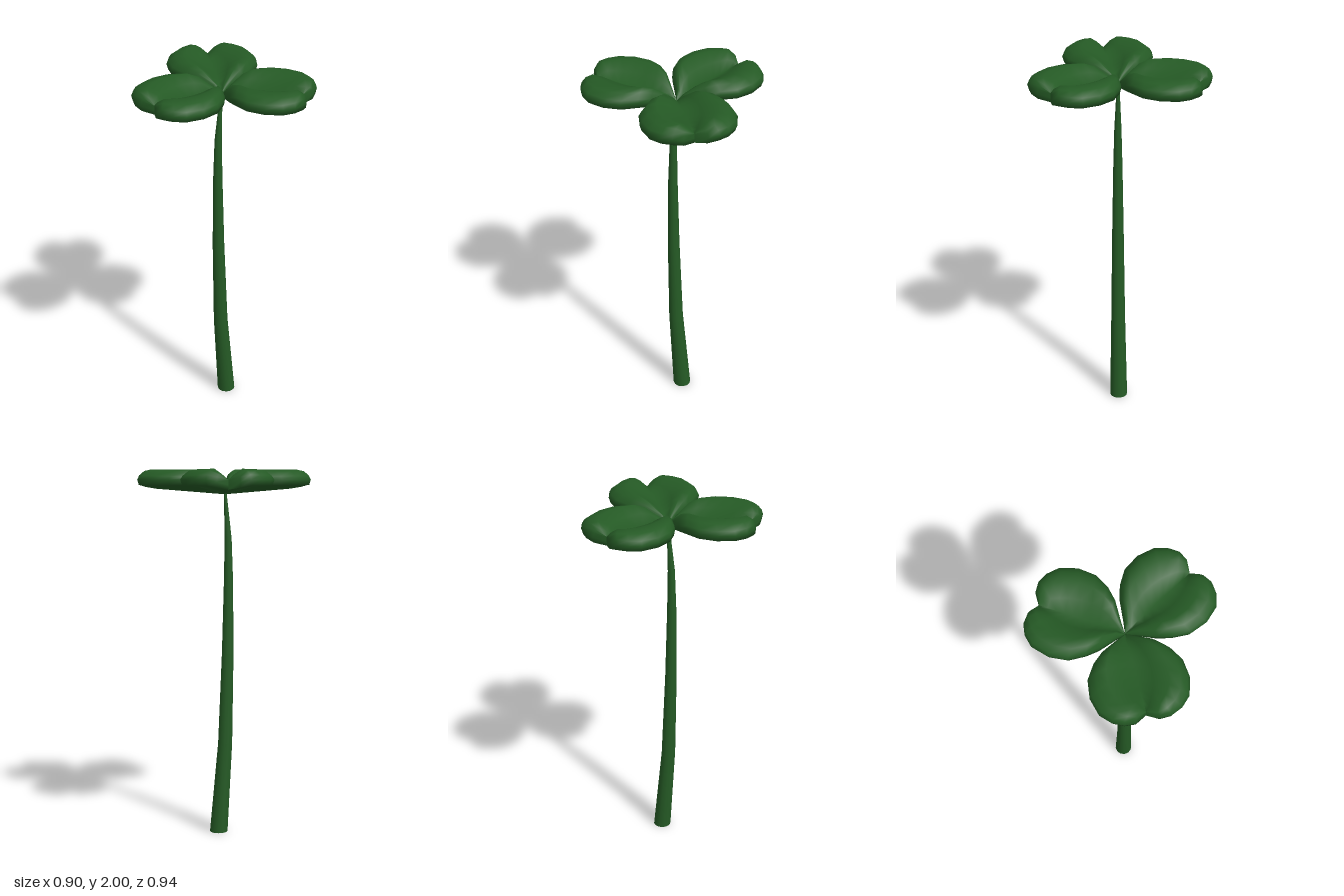
import * as THREE from 'three';

// Skins a list of closed rings (arrays of [x, y, z]) with smooth normals.
function loft(rings) {
  const n = rings[0].length;
  const index = [];
  for (let k = 0; k < rings.length - 1; k++) {
    for (let i = 0; i < n; i++) {
      const a = k * n + i, b = k * n + (i + 1) % n;
      index.push(a, b, a + n, b, b + n, a + n);
    }
  }
  const g = new THREE.BufferGeometry();
  g.setAttribute('position', new THREE.Float32BufferAttribute(rings.flat(2), 3));
  g.setIndex(index);
  g.computeVertexNormals();
  return g;
}

// Half outline of the heart, from the pointed base round to the notch.
const OUTLINE = [
  [0, 0], [0.03, 0.042], [0.09, 0.135], [0.14, 0.185], [0.215, 0.231], [0.31, 0.242],
  [0.4, 0.217], [0.448, 0.17], [0.473, 0.115], [0.471, 0.06], [0.432, 0],
];

// Puffy heart leaf: rings cross the leaf from the midrib to both edges.
function leafGeometry() {
  const { lerp } = THREE.MathUtils;
  const last = OUTLINE.length - 1;
  const rings = OUTLINE.map(([u, v], k) => {
    const r = k / last, rib = 0.432 * r;
    const full = Math.min(1, Math.hypot(u - rib, v) / 0.17);
    const top = 1.885 + 0.058 * Math.sqrt(r);
    const bottom = 1.867 + 0.028 * r;
    const at = (t, y) => [lerp(rib, u, t), y, v * t];
    const half = [
      ...[[0.3, 0.6], [0.6, 1], [0.82, 0.87], [0.95, 0.52]].map(([t, c]) => at(t, lerp(top, 2, c * full))),
      at(1, lerp((top + bottom) / 2, 1.945, full)),
      at(0.96, lerp(bottom, 1.915, full)),
      at(0.5, lerp(bottom, 1.915, full)),
    ];
    const mirrored = half.map(([x, y, z]) => [x, y, -z]).reverse();
    return [at(0, top), ...half, at(0, bottom), ...mirrored];
  });
  return loft(rings);
}

export function createModel() {
  const model = new THREE.Group();
  model.name = 'threeLeafClover';
  const green = new THREE.MeshStandardMaterial({ color: 0x255a25 });
  green.name = 'leaf green';

  const add = (geometry, name) => {
    const mesh = new THREE.Mesh(geometry, green);
    mesh.name = name;
    model.add(mesh);
    return mesh;
  };

  // Three leaves fanned around the stem tip
  const leaf = leafGeometry();
  ['backLeaf', 'leftHandLeaf', 'frontLeaf'].forEach((name, i) => {
    const mesh = add(leaf, name === 'leftHandLeaf' ? 'sideLeaf' : name);
    mesh.position.set(0.03, 0, 0.01);
    mesh.rotation.y = THREE.MathUtils.degToRad(66.5 + 120 * i);
  });

  // Bent, tapering stem: [height, centre x, radius]
  const SIDES = 12;
  const stem = [
    [0, 0.071, 0.049], [0.5, 0.031, 0.039], [1, 0.015, 0.032],
    [1.4, 0.01, 0.025], [1.63, 0.012, 0.019], [1.885, 0.03, 0.007],
  ];
  add(loft(stem.map(([y, x, r]) => Array.from({ length: SIDES }, (_, i) => {
    const a = (i / SIDES) * Math.PI * 2;
    return [x + r * Math.cos(a), y, 0.007 - r * Math.sin(a)];
  }))), 'stem');

  // Flat cut at the foot of the stem
  const cut = add(new THREE.CircleGeometry(stem[0][2], SIDES), 'stemFoot');
  cut.rotation.x = Math.PI / 2;
  cut.position.set(stem[0][1], 0, 0.007);

  return model;
}
